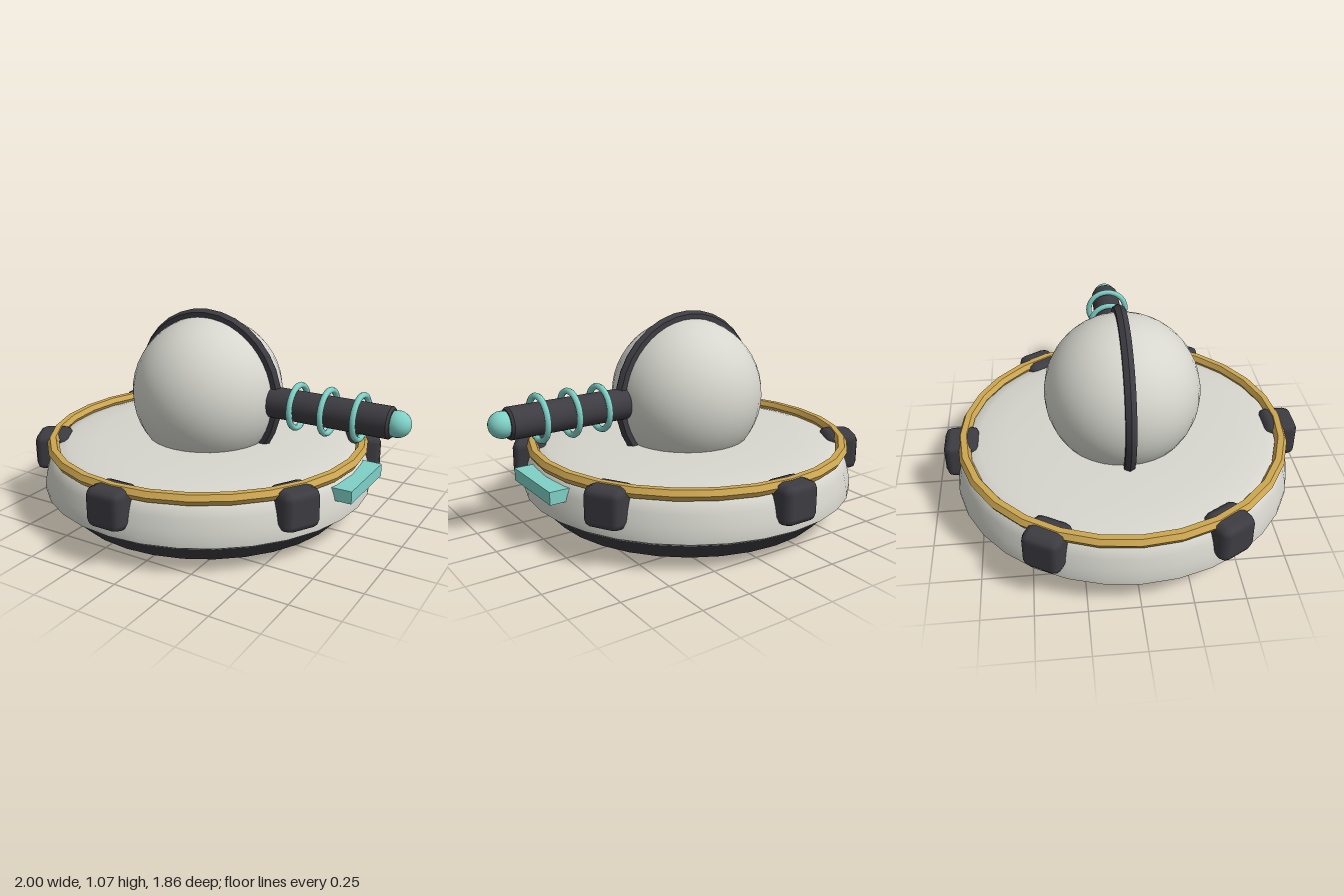
import * as THREE from 'three';
import { toCreasedNormals } from 'three/addons/utils/BufferGeometryUtils.js';
import { RoundedBoxGeometry } from 'three/addons/geometries/RoundedBoxGeometry.js';

const material = (name, color) => {
  const m = new THREE.MeshStandardMaterial({ color });
  m.name = name;
  return m;
};

export function createModel() {
  const shell = material('pale shell', 0xd6d6ce);
  const dark = material('dark metal', 0x3c3c42);
  const gold = material('gold trim', 0xcda651);
  const teal = material('teal glow', 0x7fd1c7);

  const model = new THREE.Group();
  model.name = 'turret';
  const hull = new THREE.Group();
  hull.name = 'hull';
  hull.position.x = -0.12;
  model.add(hull);

  const add = (parent, name, geometry, mat, x = 0, y = 0, z = 0) => {
    const mesh = new THREE.Mesh(geometry, mat);
    mesh.name = name;
    mesh.position.set(x, y, z);
    parent.add(mesh);
    return mesh;
  };
  const lathe = (points, crease) => toCreasedNormals(
    new THREE.LatheGeometry(points.map(([r, y]) => new THREE.Vector2(r, y)), 32), crease);
  // Six-sided ring with crisp facets
  const hexRing = (radius, tube, segments) => toCreasedNormals(
    new THREE.TorusGeometry(radius, tube, 6, segments), 0.4);

  // Saucer: underside rim, sloping wall and gently domed deck
  add(hull, 'saucerBody', lathe([
    [0.8, 0.13], [0.85, 0.135], [0.88, 0.155], [0.88, 0.185], [0.872, 0.23], [0.857, 0.29],
    [0.84, 0.335], [0.815, 0.358], [0.75, 0.374], [0.6, 0.39], [0.35, 0.4], [0, 0.403],
  ], 0.6), shell);
  add(hull, 'base', lathe([[0, 0.03], [0.75, 0.03], [0.85, 0.14], [0, 0.14]], 0.4), dark);
  add(hull, 'undersideRing', hexRing(0.64, 0.035, 32), teal, 0, 0.0303).rotation.x = Math.PI / 2;
  add(hull, 'deckRing', hexRing(0.83, 0.031, 28), gold, 0, 0.378).rotation.x = Math.PI / 2;

  // Six chamfered pods around the rim
  const podGeometry = new RoundedBoxGeometry(0.2, 0.2, 0.18, 1, 0.04);
  for (let i = 0; i < 6; i++) {
    const angle = (i * Math.PI) / 3;
    add(hull, 'rimPod', podGeometry, dark,
      0.84 * Math.sin(angle), 0.3, 0.84 * Math.cos(angle)).rotation.y = angle;
  }

  // Sensor panel under the barrel
  add(model, 'sidePanel', new THREE.BoxGeometry(0.12, 0.065, 0.4), teal, 0.74, 0.295);

  // Ball with its upright band
  add(hull, 'ball', new THREE.SphereGeometry(0.4, 32, 24), shell, 0, 0.63);
  add(hull, 'ballBand', hexRing(0.41, 0.031, 32), dark, 0, 0.63);

  // Barrel, coils and tip
  const barrel = new THREE.Group();
  barrel.name = 'barrel';
  barrel.position.y = 0.63;
  barrel.rotation.z = -Math.PI / 2;
  model.add(barrel);
  add(barrel, 'barrelTube', lathe([
    [0, 0.265], [0.08, 0.265], [0.08, 0.9], [0.07, 0.912], [0, 0.912],
  ], 0.5), dark);
  for (const x of [0.415, 0.58, 0.748]) {
    add(barrel, 'barrelCoil', new THREE.TorusGeometry(0.109, 0.016, 8, 28), teal, 0, x)
      .rotation.x = Math.PI / 2;
  }
  add(barrel, 'barrelTip', new THREE.SphereGeometry(0.066, 20, 14), teal, 0, 0.934);

  return model;
}
